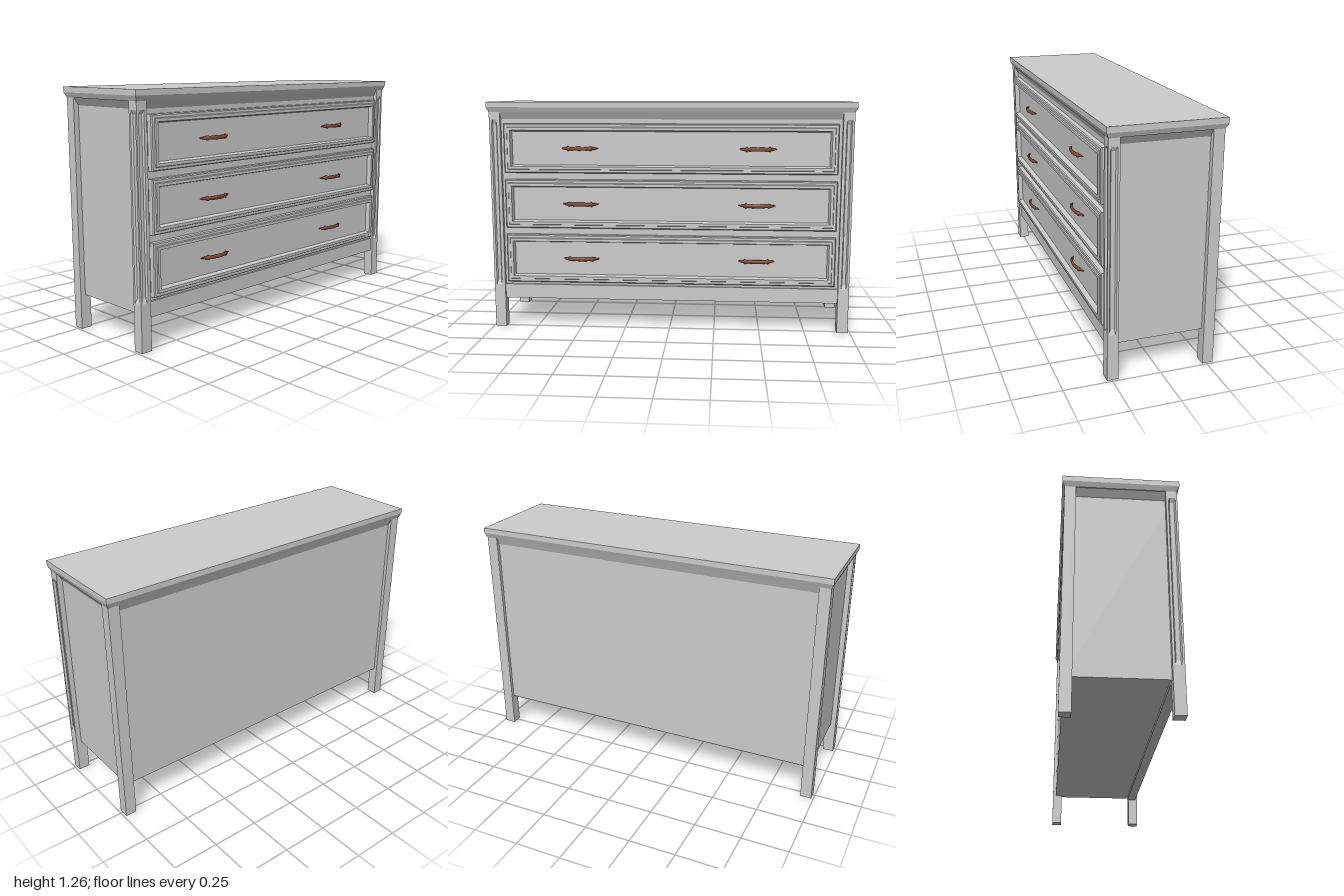
import * as THREE from 'three';

const grey = new THREE.MeshStandardMaterial({ color: 0xcccccc, flatShading: true });
const brown = new THREE.MeshStandardMaterial({ color: 0x8a4a30 });

// Skin a list of equal-length loops (counterclockwise about the direction of travel), capped at both ends
function loft(loops, smooth = false) {
  const n = loops[0].length, pos = [], idx = [];
  loops.forEach(l => l.forEach(p => pos.push(...p)));
  for (let k = 0; k < loops.length - 1; k++) {
    for (let i = 0; i < n; i++) {
      const a = k * n + i, b = k * n + (i + 1) % n;
      idx.push(a, b, b + n, a, b + n, a + n);
    }
  }
  [0, loops.length - 1].forEach((k, end) => {
    const c = [0, 1, 2].map(j => loops[k].reduce((s, p) => s + p[j], 0) / n);
    const ci = pos.length / 3;
    pos.push(...c);
    for (let i = 0; i < n; i++) {
      const a = k * n + i, b = k * n + (i + 1) % n;
      if (end) idx.push(ci, a, b); else idx.push(ci, b, a);
    }
  });
  let g = new THREE.BufferGeometry();
  g.setAttribute('position', new THREE.Float32BufferAttribute(pos, 3));
  g.setIndex(idx);
  if (!smooth) g = g.toNonIndexed();
  g.computeVertexNormals();
  return g;
}

// Rectangle at height y, symmetric in z
const rectY = (y, x0, x1, z) => [[x0, y, -z], [x0, y, z], [x1, y, z], [x1, y, -z]];
// Rectangle facing +x
const rectX = (x, h, w) => [[x, -h, -w], [x, h, -w], [x, h, w], [x, -h, w]];

function add(parent, name, geometry, material = grey, x = 0, y = 0, z = 0) {
  const mesh = new THREE.Mesh(geometry, material);
  mesh.name = name;
  mesh.position.set(x, y, z);
  parent.add(mesh);
  return mesh;
}

// Front leg with a stopped groove on its front and outer faces
function frontLegGeometry(side) {
  const z0 = 0.928, z1 = 0.988, x0 = 0.218, x1 = 0.275;
  const section = (y, d) => {
    const pts = [
      [x0, z0], [x0, z1],
      [0.23, z1], [0.236, z1 - d], [0.259, z1 - d], [0.265, z1],
      [x1, z1],
      [x1, 0.975], [x1 - d, 0.969], [x1 - d, 0.951], [x1, 0.945],
      [x1, z0],
    ].map(([x, z]) => [x, y, z * side]);
    return side > 0 ? pts : pts.reverse();
  };
  return loft([
    section(0, 0), section(0.245, 0), section(0.27, 0.01),
    section(1.148, 0.01), section(1.17, 0), section(1.22, 0),
  ]);
}

// Bowed pull with pointed ends, two collars and a thicker grip
function handleGeometry() {
  // distance along z, bow in x, radius
  const half = [
    [0.1, 0.002, 0.002], [0.085, 0.008, 0.006], [0.068, 0.017, 0.009],
    [0.066, 0.018, 0.013], [0.058, 0.021, 0.013], [0.056, 0.022, 0.009],
    [0.03, 0.027, 0.0105], [0, 0.029, 0.011],
  ];
  const rows = [
    ...half.map(([z, x, r]) => [-z, x, r]),
    ...half.slice(0, -1).reverse(),
  ];
  const sides = 12;
  return loft(rows.map(([z, x, r]) => Array.from({ length: sides }, (_, i) => {
    const t = i / sides * Math.PI * 2;
    return [x + 0.6 * r * Math.cos(t), r * Math.sin(t), z];
  })), true);
}

export function createModel() {
  const model = new THREE.Group();
  model.name = 'chestOfDrawers';

  // Top with a bevelled lower edge
  add(model, 'top', loft([
    rectY(1.21, -0.287, 0.275, 0.988),
    rectY(1.236, -0.299, 0.287, 1),
    rectY(1.265, -0.299, 0.287, 1),
  ]));

  // Carcass, flaring out under the top
  add(model, 'carcass', loft([
    rectY(0.182, -0.268, 0.252, 0.96),
    rectY(1.172, -0.268, 0.252, 0.96),
    rectY(1.213, -0.286, 0.274, 0.986),
  ]));

  // Rail below the drawers
  add(model, 'apron', new THREE.BoxGeometry(0.051, 0.08, 1.87), grey, 0.2375, 0.205, 0);

  // Legs
  for (const side of [1, -1]) {
    add(model, 'frontLeg', frontLegGeometry(side));
    add(model, 'backLeg', new THREE.BoxGeometry(0.057, 1.22, 0.06), grey, -0.2585, 0.61, side * 0.958);
  }

  // Drawers: moulded frame around a sunk panel, with two pulls each
  const h = 0.135, w = 0.908;
  const profile = [ // inset from the edge, x
    [0, 0.245], [0, 0.277], [0.005, 0.282], [0.018, 0.282],
    [0.021, 0.288], [0.036, 0.288], [0.043, 0.262],
  ];
  const frontGeometry = loft(profile.map(([inset, x]) => rectX(x, h - inset, w - inset)));
  const pull = handleGeometry();
  for (const y of [0.398, 0.706, 1.013]) {
    const drawer = new THREE.Group();
    drawer.name = 'drawer';
    drawer.position.y = y;
    add(drawer, 'drawerFront', frontGeometry);
    for (const z of [-0.48, 0.49]) add(drawer, 'handle', pull, brown, 0.262, 0, z);
    model.add(drawer);
  }
  return model;
}
